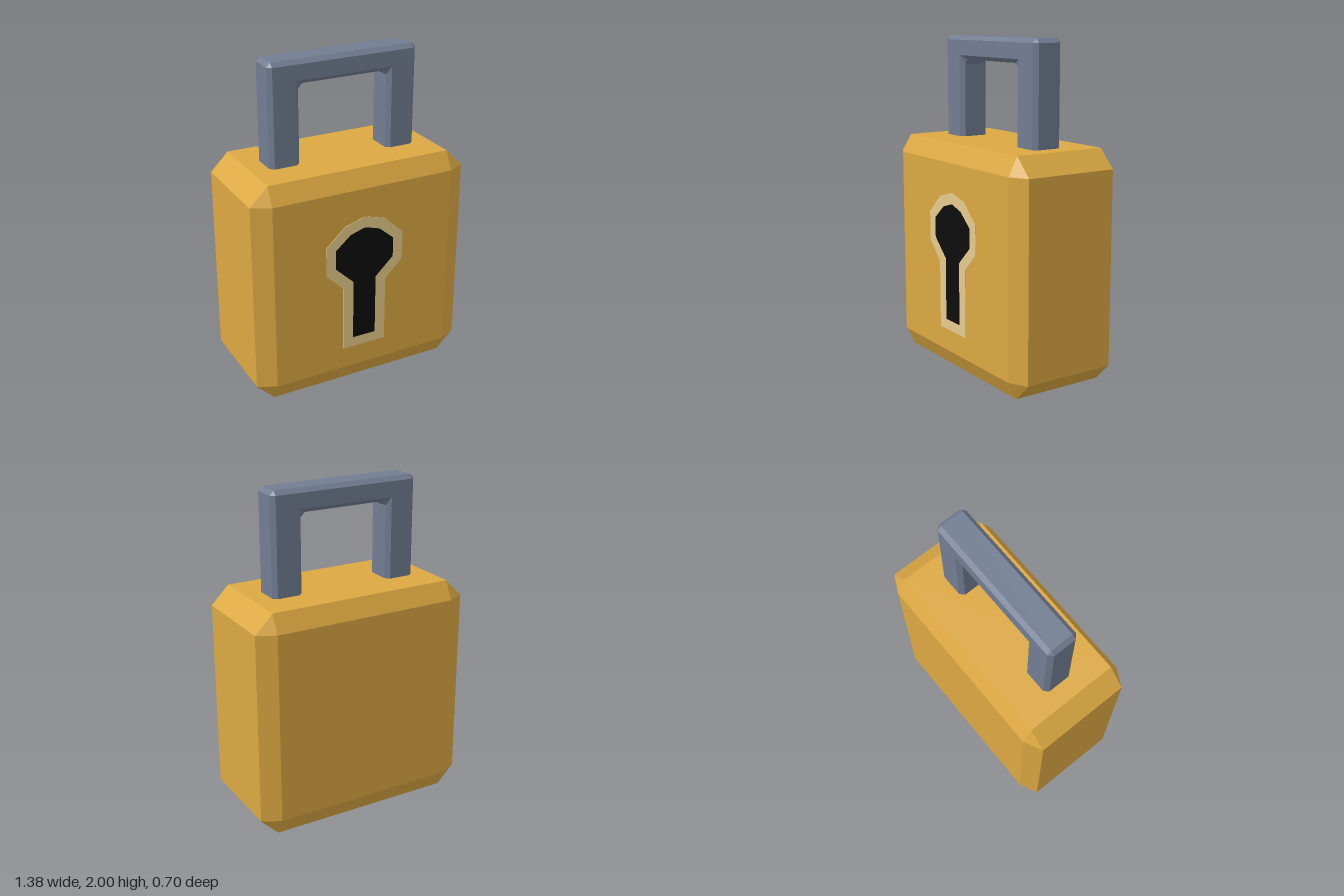
import * as THREE from 'three';
import { ConvexGeometry } from 'three/addons/geometries/ConvexGeometry.js';

const material = (color) => new THREE.MeshStandardMaterial({ color, flatShading: true });

function addPart(group, name, geometry, mat) {
  const mesh = new THREE.Mesh(geometry, mat);
  mesh.name = name;
  group.add(mesh);
  return mesh;
}

// Box whose twelve edges are cut off, leaving triangular corners
function chamferedBox(x, y, z, cx, cy, cz) {
  const points = [];
  for (const sx of [-1, 1]) for (const sy of [-1, 1]) for (const sz of [-1, 1]) {
    points.push(
      new THREE.Vector3(sx * x, sy * (y - cy), sz * (z - cz)),
      new THREE.Vector3(sx * (x - cx), sy * y, sz * (z - cz)),
      new THREE.Vector3(sx * (x - cx), sy * (y - cy), sz * z));
  }
  return new ConvexGeometry(points);
}

// Square arch swept through octagonal cross-sections
function shackleGeometry() {
  const zEdge = 0.07, zFace = 0.095, base = 1.37;
  // Each station: outer edge, outer face, inner face, inner edge
  const half = [
    [[0.472, base], [0.447, base], [0.308, base], [0.283, base]],
    [[0.472, 1.975], [0.447, 1.975], [0.308, 1.882], [0.283, 1.83]],
    [[0.447, 2], [0.447, 1.975], [0.308, 1.882], [0.255, 1.858]],
  ];
  const mirrored = half.map((s) => s.map(([x, y]) => [-x, y])).reverse();
  const depth = [zEdge, zFace, zFace, zEdge];
  const rings = [...half, ...mirrored].map((s) => {
    const front = s.map(([x, y], i) => new THREE.Vector3(x, y, depth[i]));
    const back = front.map((p) => new THREE.Vector3(p.x, p.y, -p.z)).reverse();
    return [...front, ...back];
  });
  const points = [];
  const triangle = (a, b, c) => {
    if (new THREE.Triangle(a, b, c).getArea() > 1e-7) points.push(a, b, c);
  };
  for (let s = 0; s < rings.length - 1; s++) {
    for (let i = 0; i < 8; i++) {
      const j = (i + 1) % 8, low = rings[s], high = rings[s + 1];
      triangle(low[j], low[i], high[i]);
      triangle(low[j], high[i], high[j]);
    }
  }
  const geometry = new THREE.BufferGeometry().setFromPoints(points);
  geometry.computeVertexNormals();
  return geometry;
}

// Symmetrical outline from its right half, listed top to bottom
function mirroredOutline(right) {
  const left = right.filter(([x]) => x > 0).map(([x, y]) => [-x, y]).reverse();
  return [...right, ...left].map(([x, y]) => new THREE.Vector2(x, y));
}

export function createModel() {
  const model = new THREE.Group();
  model.name = 'padlock';

  // Chamfered body
  const body = addPart(model, 'body',
    chamferedBox(0.69, 0.692, 0.347, 0.11, 0.11, 0.056), material(0xdca842));
  body.position.y = 0.692;

  // Shackle
  addPart(model, 'shackle', shackleGeometry(), material(0x727d92));

  // Keyhole and the thin plate around it
  const plateOutline = mirroredOutline([[0, 1.1], [0.13, 1.063], [0.253, 0.95],
    [0.253, 0.77], [0.142, 0.66], [0.142, 0.246]]);
  const holeOutline = mirroredOutline([[0, 1.032], [0.095, 1.003], [0.19, 0.922],
    [0.19, 0.8], [0.075, 0.69], [0.075, 0.308]]);

  const plateShape = new THREE.Shape(plateOutline);
  plateShape.holes.push(new THREE.Path(holeOutline));
  const plate = addPart(model, 'keyholePlate',
    new THREE.ExtrudeGeometry(plateShape, { depth: 0.005, bevelEnabled: false }),
    material(0xe6cb8c));
  plate.position.z = 0.345;

  const keyhole = addPart(model, 'keyhole',
    new THREE.ShapeGeometry(new THREE.Shape(holeOutline)), material(0x0d0d0d));
  keyhole.position.z = 0.35;

  return model;
}
